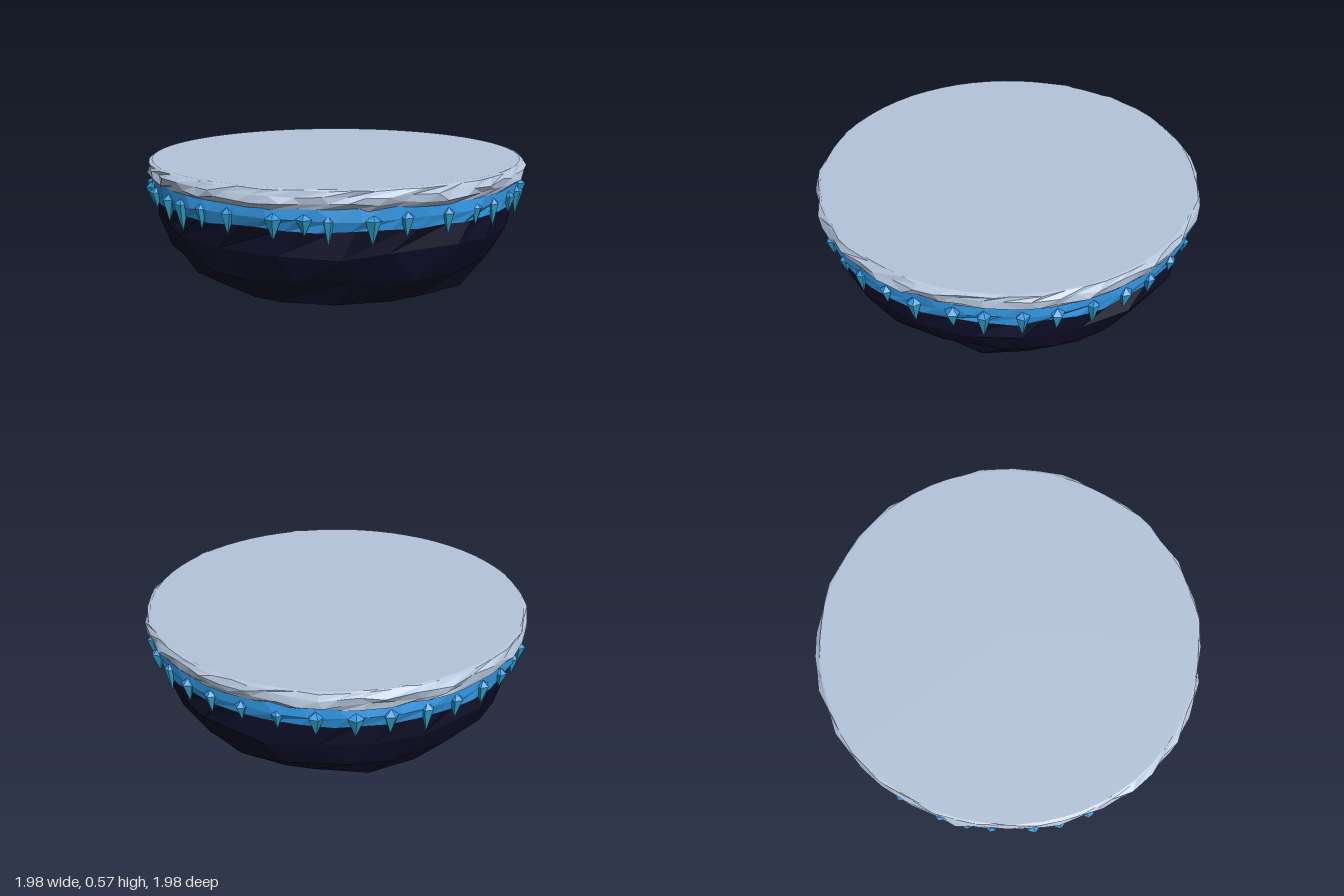
import * as THREE from 'three';

// Small seeded random, returns -1..1
function seeded(seed) {
  let s = seed;
  return () => {
    s = (s * 16807) % 2147483647;
    return (s / 2147483647) * 2 - 1;
  };
}

// Faceted round shell from rings [radius, y, radius jitter, y jitter], listed bottom to top
function facetedLoft(rings, sides, seed) {
  const rnd = seeded(seed);
  const pts = rings.map(([r, y, jr, jy], k) =>
    Array.from({ length: sides }, (_, i) => {
      const spread = r > 0 ? jr : 0;
      const a = ((i + (k % 2) * 0.4 + rnd() * (spread ? 0.22 : 0)) / sides) * Math.PI * 2;
      const rr = r + rnd() * spread;
      return [Math.cos(a) * rr, y + rnd() * jy, Math.sin(a) * rr];
    })
  );
  const pos = [];
  for (let k = 0; k < rings.length - 1; k++) {
    for (let i = 0; i < sides; i++) {
      const n = (i + 1) % sides;
      const a = pts[k][i], b = pts[k][n], c = pts[k + 1][i], d = pts[k + 1][n];
      if (rings[k][0] > 0) pos.push(...a, ...c, ...b);
      if (rings[k + 1][0] > 0) pos.push(...b, ...c, ...d);
    }
  }
  const g = new THREE.BufferGeometry();
  g.setAttribute('position', new THREE.Float32BufferAttribute(pos, 3));
  g.computeVertexNormals();
  return g;
}

export function createModel() {
  const group = new THREE.Group();
  const material = (name, color) => {
    const m = new THREE.MeshStandardMaterial({ color });
    m.name = name;
    return m;
  };
  const snow = material('snow', 0xb4c4da);
  const ice = material('blue ice', 0x3093dd);
  const tip = material('cyan ice', 0x30a4cc);
  const rock = material('dark rock', 0x0d0d26);

  const add = (name, geometry, mat, parent = group) => {
    const m = new THREE.Mesh(geometry, mat);
    m.name = name;
    parent.add(m);
    return m;
  };

  // Dark rock bowl with a flat underside
  add('rockBase', facetedLoft([
    [0, 0.005, 0, 0],
    [0.765, 0.005, 0.025, 0.004],
    [0.875, 0.13, 0.02, 0.015],
    [0.925, 0.27, 0.018, 0.015],
    [0.93, 0.43, 0.01, 0],
  ], 22, 71), rock);

  // Blue band of ice under the snow
  add('iceBand', facetedLoft([
    [0.9, 0.395, 0, 0],
    [0.948, 0.388, 0.008, 0.007],
    [0.962, 0.44, 0.008, 0.006],
    [0.955, 0.5, 0.006, 0],
  ], 44, 19), ice);

  // Lumpy snow rim
  add('snowRim', facetedLoft([
    [0.92, 0.49, 0, 0],
    [0.958, 0.486, 0.009, 0.007],
    [0.98, 0.512, 0.014, 0.008],
    [0.98, 0.545, 0.014, 0.008],
    [0.966, 0.568, 0.01, 0.004],
    [0.95, 0.574, 0.006, 0],
  ], 60, 5), snow);

  // Flat snow floor
  const floor = add('snowFloor', new THREE.CircleGeometry(0.957, 60), snow);
  floor.rotation.x = -Math.PI / 2;
  floor.position.y = 0.574;

  // Hanging ice crystals, angles in degrees from the front towards the left side
  const angles = [
    -80, -72, -59, -51, -44, -32, -24.5, -15.6, -4, 3.6, 12, 21, 34, 42, 48, 59, 68, 80, 90,
    98, 108, 117, 128, 136, 146, 155, 165, 175, 184, 194, 204, 214, 224, 233, 243, 252, 262, 271,
  ];
  const rnd = seeded(33);
  const icicles = new THREE.Group();
  icicles.name = 'icicles';
  group.add(icicles);
  for (const deg of angles) {
    const a = THREE.MathUtils.degToRad(deg);
    const width = 0.032 + rnd() * 0.006;
    const length = 0.1 + rnd() * 0.03;
    const icicle = new THREE.Group();
    icicle.name = 'icicle';
    const lower = new THREE.CylinderGeometry(width, 0.001, length, 5).toNonIndexed();
    const upper = new THREE.ConeGeometry(width, 0.024, 5).toNonIndexed();
    lower.computeVertexNormals();
    upper.computeVertexNormals();
    add('icicleTip', lower, tip, icicle).position.y = -length / 2;
    add('icicleCap', upper, ice, icicle).position.y = 0.012;
    icicle.position.set(Math.sin(a) * 0.957, 0.444 + rnd() * 0.004, Math.cos(a) * 0.957);
    icicle.rotation.y = a + rnd() * 0.5;
    icicles.add(icicle);
  }

  group.position.x = -0.005;
  return group;
}
